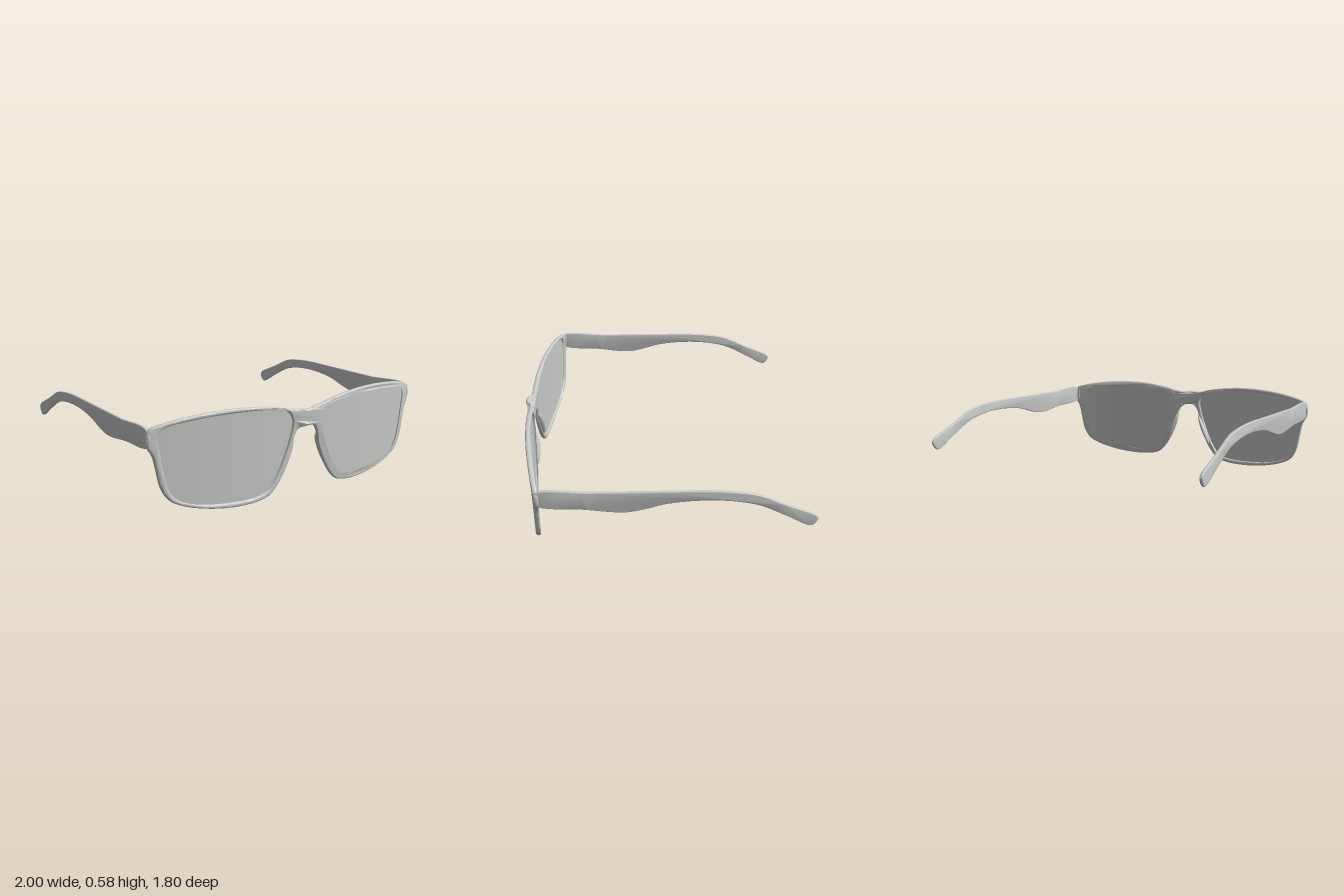
import * as THREE from 'three';
import { toCreasedNormals } from 'three/addons/utils/BufferGeometryUtils.js';

const grey = new THREE.MeshStandardMaterial({ color: 0xc8cac8, side: THREE.DoubleSide });
grey.name = 'grey';

// Right half of the frame outline, from the top of the bridge round to its underside
const OUTLINE = [[0, 0.528], [0.1, 0.532], [0.2, 0.555], [0.35, 0.577], [0.53, 0.585], [0.75, 0.572],
  [0.92, 0.543], [0.985, 0.52], [1, 0.485], [0.997, 0.425], [0.967, 0.37], [0.947, 0.28], [0.925, 0.18],
  [0.88, 0.105], [0.8, 0.06], [0.65, 0.02], [0.5, 0.002], [0.35, 0.006], [0.26, 0.03], [0.2, 0.09],
  [0.145, 0.18], [0.1, 0.29], [0.086, 0.37], [0.06, 0.412], [0, 0.428]];

// Lens opening
const OPENING = [[0.1, 0.46], [0.135, 0.52], [0.22, 0.545], [0.5, 0.56], [0.75, 0.548], [0.9, 0.52],
  [0.935, 0.475], [0.925, 0.37], [0.905, 0.25], [0.875, 0.15], [0.82, 0.092], [0.7, 0.052], [0.5, 0.031],
  [0.35, 0.035], [0.27, 0.063], [0.205, 0.15], [0.15, 0.27], [0.112, 0.38]];

// Temple arm in side view: (z, y)
const ARM = [[0.73, 0.513], [0.4, 0.512], [0, 0.511], [-0.25, 0.51], [-0.4, 0.5], [-0.54, 0.475], [-0.7, 0.402],
  [-0.885, 0.318], [-0.898, 0.298], [-0.872, 0.25], [-0.85, 0.245], [-0.7, 0.325], [-0.55, 0.4],
  [-0.4, 0.434], [-0.25, 0.444], [-0.1, 0.436], [0, 0.42], [0.12, 0.385], [0.2, 0.368], [0.28, 0.368],
  [0.45, 0.39], [0.73, 0.425]];

const mirror = pts => pts.map(([x, y]) => [-x, y]);

function smoothLoop(pts, count) {
  const curve = new THREE.CatmullRomCurve3(pts.map(([x, y]) => new THREE.Vector3(x, y, 0)), true, 'centripetal');
  return curve.getSpacedPoints(count).slice(0, count).map(p => new THREE.Vector2(p.x, p.y));
}

// Mid-surface of the wrapped front
const wrap = x => 0.853 - 0.13 * x * x;
const bridgeBump = x => 0.03 * Math.exp(-((x / 0.05) ** 4));

function frontGeometry() {
  const left = mirror(OUTLINE.slice(1, -1)).reverse();
  const shape = new THREE.Shape(smoothLoop([...OUTLINE, ...left], 300));
  for (const hole of [OPENING, mirror(OPENING)]) shape.holes.push(new THREE.Path(smoothLoop(hole, 120)));
  const geo = new THREE.ExtrudeGeometry(shape, {
    depth: 0.01, bevelThickness: 0.01, bevelSize: 0.011, bevelOffset: -0.011, bevelSegments: 4,
  });
  const p = geo.attributes.position;
  for (let i = 0; i < p.count; i++) {
    const x = p.getX(i);
    p.setZ(i, p.getZ(i) - 0.005 + wrap(x) + bridgeBump(x));
  }
  return toCreasedNormals(geo, 0.7);
}

// Curved sheet made of concentric copies of the opening
function lensGeometry(pts) {
  const n = 120, rings = 10, loop = smoothLoop(pts, n);
  const c = loop.reduce((s, p) => s.add(p), new THREE.Vector2()).divideScalar(n);
  const pos = [c.x, c.y, wrap(c.x)], index = [];
  for (let r = 1; r <= rings; r++) {
    for (let i = 0; i < n; i++) {
      const q = c.clone().lerp(loop[i], 1.008 * r / rings);
      pos.push(q.x, q.y, wrap(q.x));
      const j = (i + 1) % n, a = 1 + (r - 1) * n, b = a - n;
      if (r === 1) index.push(0, a + j, a + i);
      else index.push(b + i, b + j, a + i, b + j, a + j, a + i);
    }
  }
  const geo = new THREE.BufferGeometry();
  geo.setAttribute('position', new THREE.Float32BufferAttribute(pos, 3));
  geo.setIndex(index);
  geo.computeVertexNormals();
  return geo;
}

function armGeometry() {
  const shape = new THREE.Shape(ARM.length ? smoothLoop(ARM, 160) : []);
  const geo = new THREE.ExtrudeGeometry(shape, {
    depth: 0.008, bevelThickness: 0.005, bevelSize: 0.005, bevelOffset: -0.005, bevelSegments: 3,
  });
  geo.translate(0, 0, -0.004);
  geo.rotateY(-Math.PI / 2);
  return toCreasedNormals(geo, 0.7);
}

export function createModel() {
  const group = new THREE.Group();
  group.name = 'glasses';
  const add = (name, geo) => {
    const mesh = new THREE.Mesh(geo, grey);
    mesh.name = name;
    group.add(mesh);
    return mesh;
  };

  add('frontFrame', frontGeometry());
  for (const [side, s] of [['left', 1], ['right', -1]]) {
    add(side + 'Lens', lensGeometry(s > 0 ? OPENING : mirror(OPENING)));
    add(side + 'Temple', armGeometry()).position.x = s * 0.984;

    // Hinge block joining the arm to the frame
    add(side + 'Hinge', new THREE.BoxGeometry(0.022, 0.07, 0.03)).position.set(s * 0.972, 0.465, 0.722);

    // Nose pad lying along the inner rim, behind it
    const pad = add(side + 'NosePad', new THREE.SphereGeometry(1, 24, 16));
    pad.scale.set(0.017, 0.12, 0.026);
    pad.position.set(s * 0.143, 0.235, 0.838);
    pad.rotation.z = s * 0.42;
  }
  return group;
}
